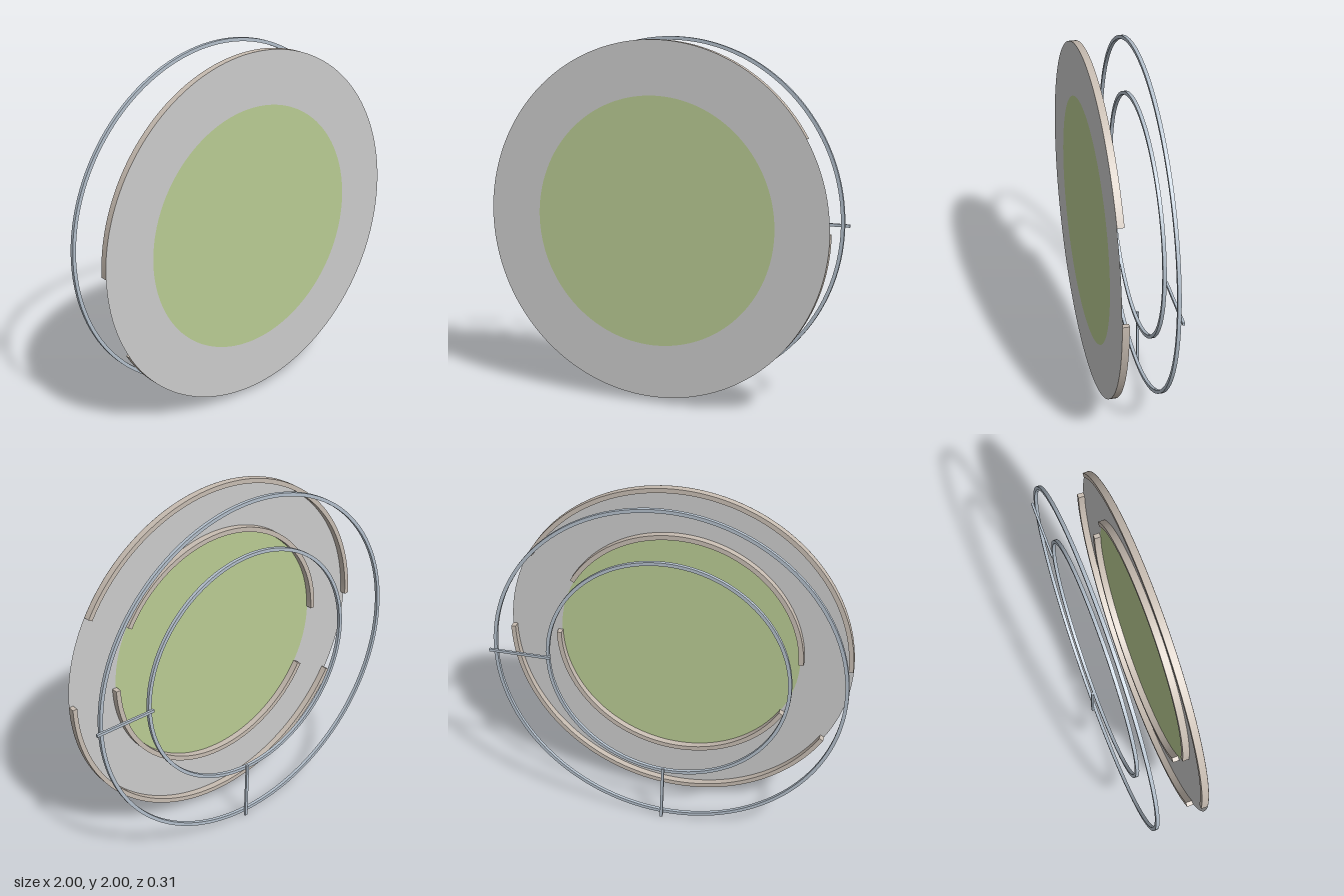
import * as THREE from 'three';
import { toCreasedNormals } from 'three/addons/utils/BufferGeometryUtils.js';

const SEGMENTS = 64;
const rad = THREE.MathUtils.degToRad;
const paint = (color, side = THREE.FrontSide) => new THREE.MeshStandardMaterial({ color, side });

// Flat-sided band between two radii, from angle a to angle b (degrees), z from z0 to z1
function band(inner, outer, a, b, z0, z1) {
  const shape = new THREE.Shape();
  if (b - a >= 360) {
    shape.absarc(0, 0, outer, 0, Math.PI * 2, false);
    const hole = new THREE.Path();
    hole.absarc(0, 0, inner, 0, Math.PI * 2, true);
    shape.holes.push(hole);
  } else {
    shape.absarc(0, 0, outer, rad(a), rad(b), false);
    shape.absarc(0, 0, inner, rad(b), rad(a), true);
    shape.closePath();
  }
  const geo = new THREE.ExtrudeGeometry(shape, { depth: z1 - z0, bevelEnabled: false, curveSegments: SEGMENTS });
  geo.translate(0, 0, z0);
  return toCreasedNormals(geo, rad(30));
}

export function createModel() {
  const model = new THREE.Group();
  model.name = 'discWithRings';
  model.position.set(-0.0125, 1.0125, 0);

  const grey = paint(0xcccccc, THREE.DoubleSide);
  const green = paint(0xb9cb93, THREE.DoubleSide);
  const warm = paint(0xc8bdb2);
  const steel = paint(0xb4c0cc);

  const add = (name, geometry, material) => {
    const mesh = new THREE.Mesh(geometry, material);
    mesh.name = name;
    model.add(mesh);
    return mesh;
  };

  // Thin front face: grey border around a green centre
  add('outerFace', new THREE.RingGeometry(0.685, 0.98, 128), grey).position.z = 0.153;
  add('centreFace', new THREE.CircleGeometry(0.685, 128), green).position.z = 0.153;

  // Two pairs of curved ribs behind the face, with gaps on both sides
  for (const [name, inner, outer] of [['outerRib', 0.954, 0.98], ['innerRib', 0.68, 0.707]]) {
    add(name + 'Upper', band(inner, outer, 30, 180, 0.115, 0.152), warm);
    add(name + 'Lower', band(inner, outer, 210, 360, 0.115, 0.152), warm);
  }

  // Two slim rings standing free at the back
  add('outerRing', band(0.968, 0.9875, 0, 360, -0.141, -0.122), steel);
  add('innerRing', band(0.666, 0.685, 0, 360, -0.141, -0.122), steel);

  // Radial bars joining the back rings
  for (const [name, angle] of [['sideBar', 0], ['bottomBar', -88.2]]) {
    const geo = new THREE.BoxGeometry(0.355, 0.016, 0.013);
    geo.translate(0.835, 0, -0.1465);
    add(name, geo, steel).rotation.z = rad(angle);
  }

  const root = new THREE.Group();
  root.name = 'model';
  root.add(model);
  return root;
}
